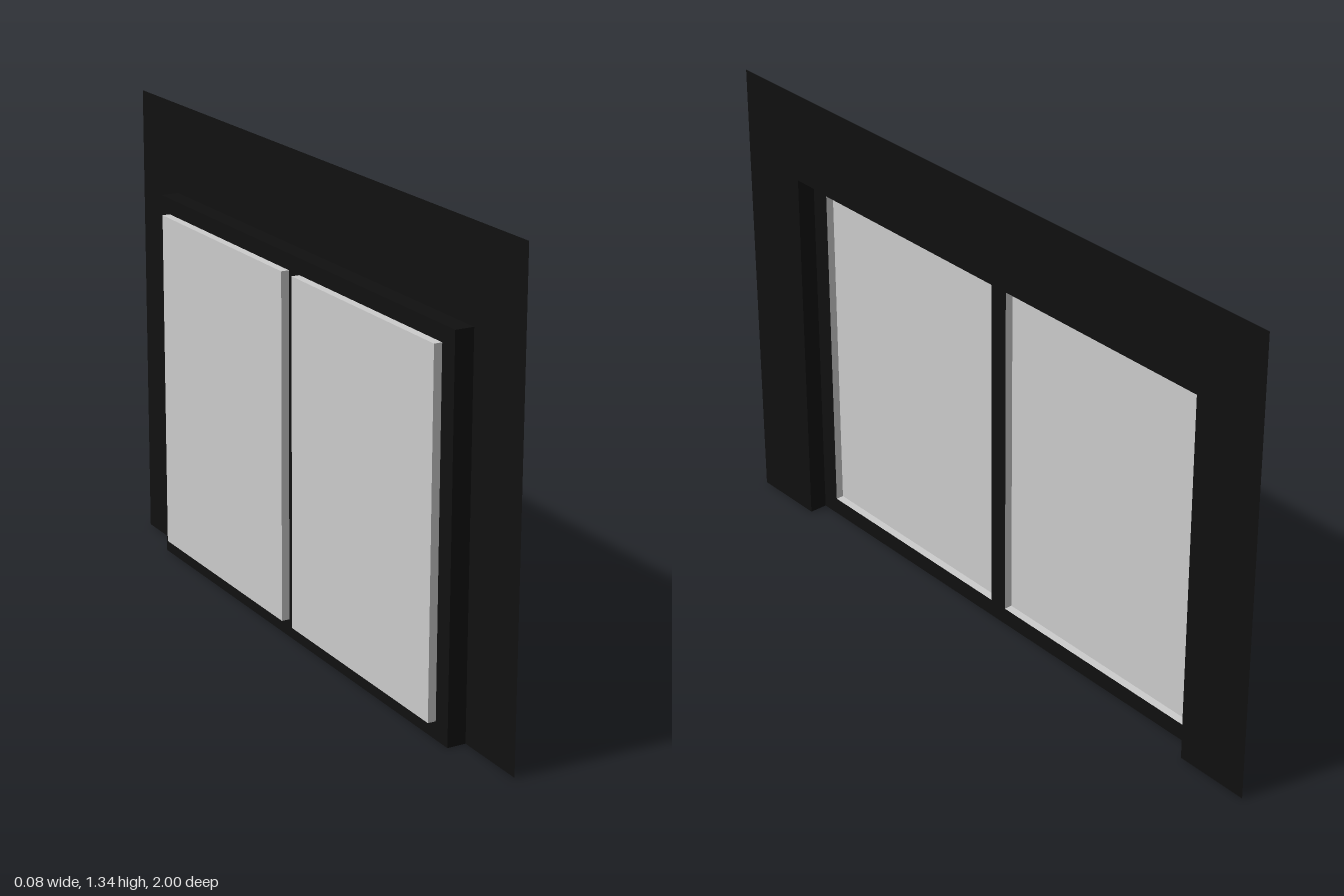
import * as THREE from 'three';

const frameMat = new THREE.MeshStandardMaterial({ color: 0x101010, side: THREE.DoubleSide });
const paneMat = new THREE.MeshStandardMaterial({ color: 0xcccccc, side: THREE.DoubleSide });

// depth of the three layers: wall, recessed frame, panes
const WALL_X = 0.038, FRAME_X = -0.015, PANE_X = -0.038;
const OPEN_Z = 0.78, OPEN_Y = 1.077;

// corners of a rectangle in (z, y)
const rect = (z0, z1, y0, y1) => [[z0, y0], [z0, y1], [z1, y1], [z1, y0]];
const toPoints = (pts) => pts.map(([z, y]) => new THREE.Vector2(-z, y));

// flat sheet facing +x, with optional holes
function sheet(name, pts, holes, x, material) {
  const shape = new THREE.Shape(toPoints(pts));
  for (const h of holes) shape.holes.push(new THREE.Path(toPoints(h)));
  const geo = new THREE.ShapeGeometry(shape);
  geo.rotateY(Math.PI / 2);
  geo.translate(x, 0, 0);
  const mesh = new THREE.Mesh(geo, material);
  mesh.name = name;
  return mesh;
}

// strip of side faces along an outline, from xFront back to xBack
function rim(name, pts, closed, xFront, xBack, material) {
  const pos = [];
  const count = closed ? pts.length : pts.length - 1;
  for (let i = 0; i < count; i++) {
    const [za, ya] = pts[i], [zb, yb] = pts[(i + 1) % pts.length];
    const a = [xFront, ya, za], b = [xFront, yb, zb];
    const c = [xBack, yb, zb], d = [xBack, ya, za];
    pos.push(...a, ...c, ...b, ...a, ...d, ...c);
  }
  const geo = new THREE.BufferGeometry();
  geo.setAttribute('position', new THREE.Float32BufferAttribute(pos, 3));
  geo.computeVertexNormals();
  const mesh = new THREE.Mesh(geo, material);
  mesh.name = name;
  return mesh;
}

export function createModel() {
  const model = new THREE.Group();
  model.name = 'windowWall';

  // surrounding wall, open at the bottom
  const opening = rect(-OPEN_Z, OPEN_Z, 0, OPEN_Y);
  const wall = [[-1, 0], [-1, 1.335], [1, 1.335], [1, 0], ...[...opening].reverse()];
  model.add(sheet('wall', wall, [], WALL_X, frameMat));

  // jambs and head leading back to the frame (no sill)
  model.add(rim('reveal', opening, false, WALL_X, FRAME_X, frameMat));

  // recessed frame with two pane openings
  const panes = [rect(-0.728, -0.03, 0.05, 1.032), rect(0.026, 0.724, 0.05, 1.032)];
  model.add(sheet('frame', opening, panes, FRAME_X, frameMat));

  // set-back panes with their edges
  panes.forEach((p, i) => {
    const pane = new THREE.Group();
    pane.name = i ? 'frontPane' : 'backPane';
    pane.add(sheet('glass', p, [], PANE_X, paneMat));
    pane.add(rim('paneEdge', p, true, FRAME_X, PANE_X, paneMat));
    model.add(pane);
  });
  return model;
}
